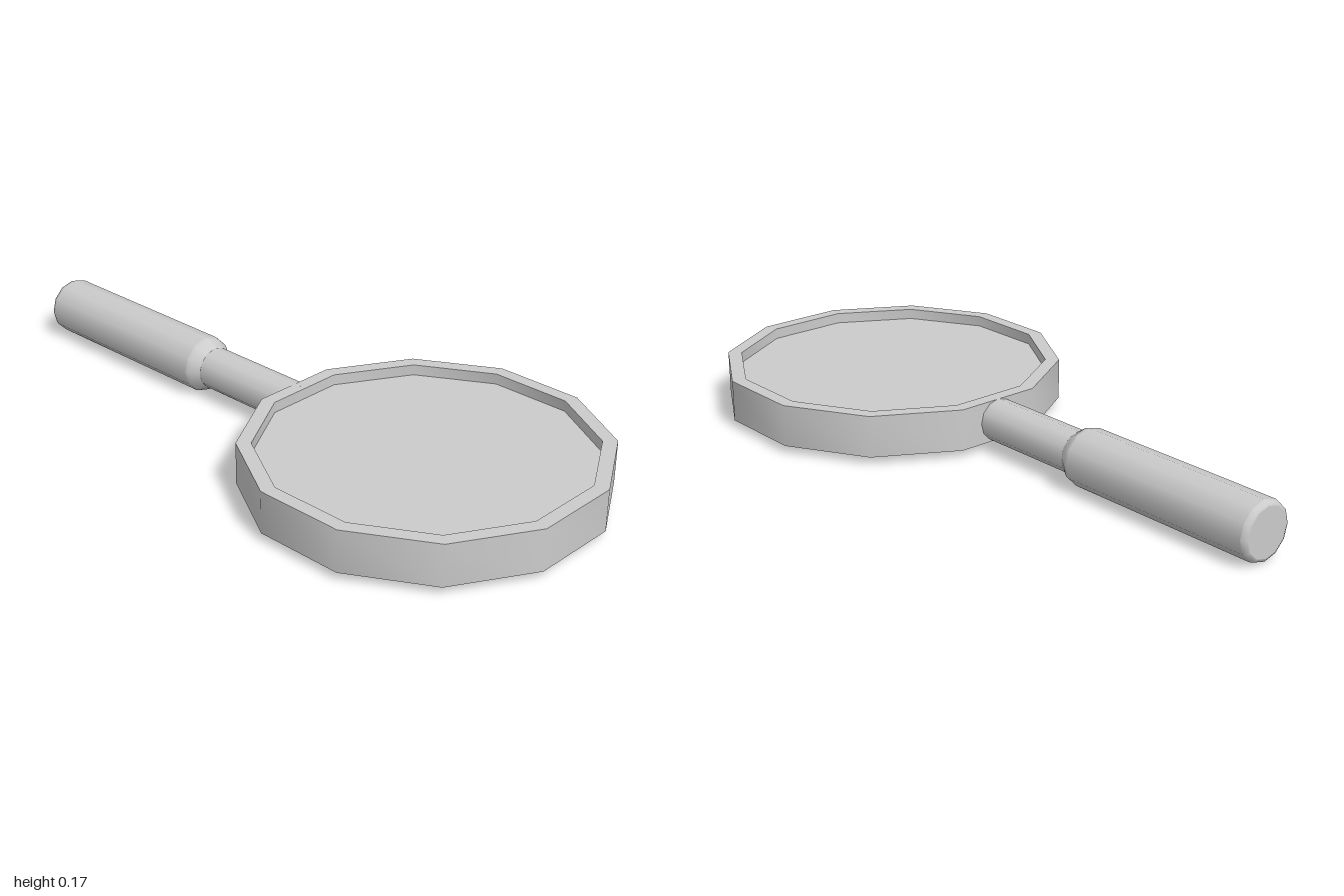
import * as THREE from 'three';
import { toCreasedNormals } from 'three/addons/utils/BufferGeometryUtils.js';

const SIDES = 12;
const CENTER_Y = 0.086;
const RING_Z = 0.503;
const RING_OUTER = 0.512;
const RING_INNER = 0.47;
const RING_HEIGHT = 0.124;
const LENS_HEIGHT = 0.06;

// Regular polygon with flats facing the axes
function polygon(radius) {
  return Array.from({ length: SIDES }, (_, i) => {
    const a = ((i + 0.5) / SIDES) * Math.PI * 2;
    return new THREE.Vector2(Math.cos(a) * radius, Math.sin(a) * radius);
  });
}

export function createModel() {
  const group = new THREE.Group();
  group.name = 'magnifyingGlass';
  const material = new THREE.MeshStandardMaterial({ color: 0xcccccc });

  const add = (name, geometry, y, z) => {
    const mesh = new THREE.Mesh(geometry, material);
    mesh.name = name;
    mesh.position.set(0, y, z);
    group.add(mesh);
  };

  // Rim around the lens
  const shape = new THREE.Shape(polygon(RING_OUTER));
  shape.holes.push(new THREE.Path(polygon(RING_INNER)));
  const rim = new THREE.ExtrudeGeometry(shape, { depth: RING_HEIGHT, bevelEnabled: false });
  rim.rotateX(-Math.PI / 2);
  add('rim', toCreasedNormals(rim, 0.6), CENTER_Y - RING_HEIGHT / 2, RING_Z);

  // Lens, recessed on both faces
  const lens = new THREE.CylinderGeometry(
    RING_INNER, RING_INNER, LENS_HEIGHT, SIDES, 1, false, Math.PI / SIDES);
  add('lens', lens, CENTER_Y, RING_Z);

  // Handle pieces: [radius, distance behind the origin]
  const turned = (profile) => {
    const points = profile.map(([r, d]) => new THREE.Vector2(r, d));
    return new THREE.LatheGeometry(points, SIDES).rotateX(-Math.PI / 2);
  };
  add('shaft', turned([[0, -0.03], [0.063, -0.03], [0.063, -0.03], [0.063, 0.325]]), CENTER_Y, 0);
  // Repeated points keep the edges of the straight barrel and end cap crisp
  add('grip', turned([
    [0.063, 0.325], [0.082, 0.353], [0.085, 0.365], [0.085, 0.365],
    [0.085, 0.985], [0.085, 0.985], [0.081, 0.996], [0.072, 1],
    [0.072, 1], [0, 1],
  ]), CENTER_Y, 0);

  return group;
}
